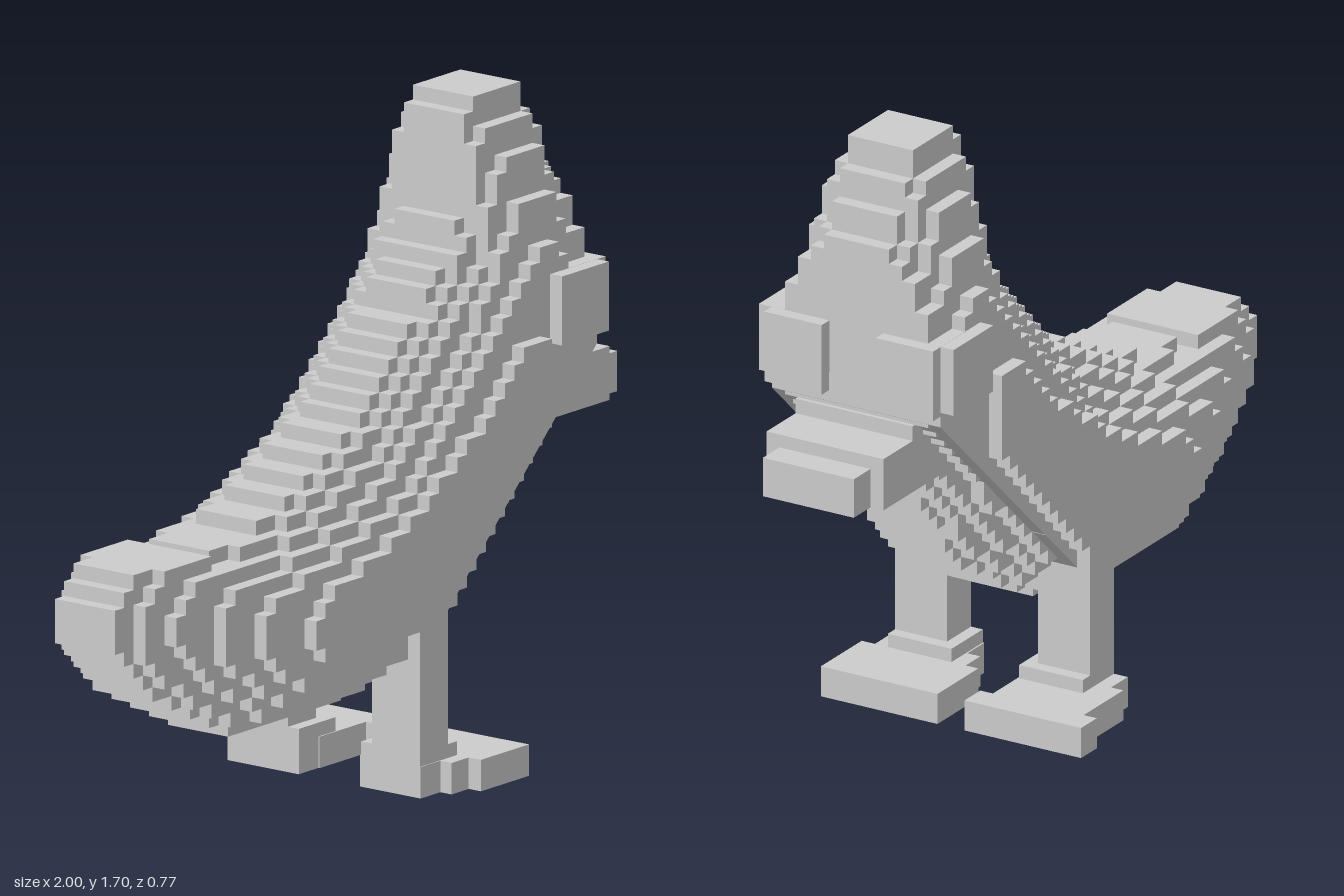
import * as THREE from 'three';

const V = 1 / 26;      // block size
const ZC = V / 2;      // body mid-plane
const material = new THREE.MeshStandardMaterial({ color: 0xcccccc, flatShading: true });

function add(parent, geometry, name) {
  const mesh = new THREE.Mesh(geometry, material);
  mesh.name = name;
  parent.add(mesh);
}

function box(parent, name, [x0, x1], [y0, y1], [z0, z1]) {
  const g = new THREE.BoxGeometry(x1 - x0, y1 - y0, Math.abs(z1 - z0));
  g.translate((x0 + x1) / 2, (y0 + y1) / 2, (z0 + z1) / 2);
  add(parent, g, name);
}

// height of a polyline [x, y, x, y, ...] at x
function heightAt(line, x) {
  for (let i = 2; i < line.length; i += 2) {
    if (x <= line[i]) return THREE.MathUtils.mapLinear(x, line[i - 2], line[i], line[i - 1], line[i + 1]);
  }
  return line[line.length - 1];
}

const snap = (y) => V * (Math.round(y / V - 0.25) + 0.25);
const blend = (a, b, t) => a.map((n, i) => n + (b[i] - n) * t);

// plate of the given number of blocks, centred on the mid-plane
function slab(points, width) {
  const g = new THREE.ExtrudeGeometry(new THREE.Shape(points), { depth: width * V, bevelEnabled: false });
  return g.translate(0, 0, ZC - width * V / 2);
}

// plate whose outline climbs in whole blocks between two lines
function steppedSlab(top, bottom, width) {
  const first = Math.round(top[0] / V), end = Math.round(top[top.length - 2] / V);
  const upper = [], lower = [];
  for (let i = first; i < end; i++) {
    const x = (i + 0.5) * V;
    const lo = snap(heightAt(bottom, x));
    const hi = Math.max(snap(heightAt(top, x)), lo + V);
    lower.push(new THREE.Vector2(i * V, lo), new THREE.Vector2((i + 1) * V, lo));
    upper.push(new THREE.Vector2(i * V, hi), new THREE.Vector2((i + 1) * V, hi));
  }
  return slab([...lower, ...upper.reverse()], width);
}

// back and belly lines, tail to head: at the mid-plane and at the flanks
const coreTop = [-1, .66, -.92, .74, -.74, .74, -.65, .71, -.35, .78, 0, .95, .27, 1.2,
  .42, 1.41, .43, 1.66, .47, 1.7, .65, 1.7, .73, 1.5, .77, 1.47];
const flankTop = [-.58, .56, -.5, .63, -.4, .65, -.35, .66, -.2, .7, 0, .78, .27, 1.01,
  .42, 1.18, .48, 1.22, .54, 1.31, .62, 1.31, .67, 1.24, .77, 1.22];
const coreBottom = [-1, .56, -.85, .42, -.52, .25, -.12, .25, .11, .31, .42, .49, .69, .83, .77, 1];
const flankBottom = [-.58, .5, -.5, .42, -.42, .36, -.04, .36, .13, .45, .45, .76, .7, 1, .77, 1.06];
const wingTop = [-.43, .55, -.35, .6, -.05, .7, .24, .9, .42, 1.08, .54, 1.08];
const wingBottom = [-.43, .5, -.35, .44, 0, .44, .13, .46, .54, .88];

export function createModel() {
  const bird = new THREE.Group();
  bird.name = 'blockBird';

  // nested body layers, each two blocks wider than the last
  [0, .15, .4, .7, 1].forEach((t, i) => {
    const top = blend(coreTop, flankTop, t), bottom = blend(coreBottom, flankBottom, t);
    add(bird, steppedSlab(top, bottom, 5 + 2 * i), 'bodyLayer' + (i + 1));
  });
  add(bird, steppedSlab(wingTop, wingBottom, 15), 'wings');

  // straight sloping edge of the breast
  const slope = [[.11, .4], [.77, 1.02], [.77, 1.1], [.5, 1], [.11, .6]];
  add(bird, slab(slope.map(([x, y]) => new THREE.Vector2(x, y)), 13), 'breastEdge');

  // beak
  box(bird, 'beak', [.6, .92], [.83, .97], [ZC - 4.5 * V, ZC + 4.5 * V]);
  box(bird, 'beakBase', [.6, .78], [.83, 1.01], [ZC - 4.5 * V, ZC + 4.5 * V]);
  box(bird, 'beakTip', [.88, 1], [.83, .935], [ZC - 3.5 * V, ZC + 3.5 * V]);

  for (const s of [1, -1]) {
    const side = s > 0 ? 'left' : 'right';
    const fromMid = (a, b) => [ZC + s * a, ZC + s * b];
    // cheeks
    box(bird, side + 'Cheek', [.58, .77], [1.06, 1.24], fromMid(.1, 7.5 * V));
    box(bird, side + 'CheekFront', [.62, .806], [1.05, 1.24], fromMid(.08, 6.5 * V));
    // leg, ankle and stepped foot
    box(bird, side + 'Leg', [0, .115], [0, .55], fromMid(3.5 * V, 7.5 * V));
    box(bird, side + 'Ankle', [0, .15], [0, .118], fromMid(2.6 * V, 7.5 * V));
    box(bird, side + 'Heel', [0, .1], [0, .082], [s * .115, s * .31]);
    box(bird, side + 'Foot', [.08, .346], [0, .082], [s * .077, s * .346]);
    box(bird, side + 'Toes', [s > 0 ? .15 : .27, .346], [0, .082], [s * .04, s * .385]);
  }
  return bird;
}
